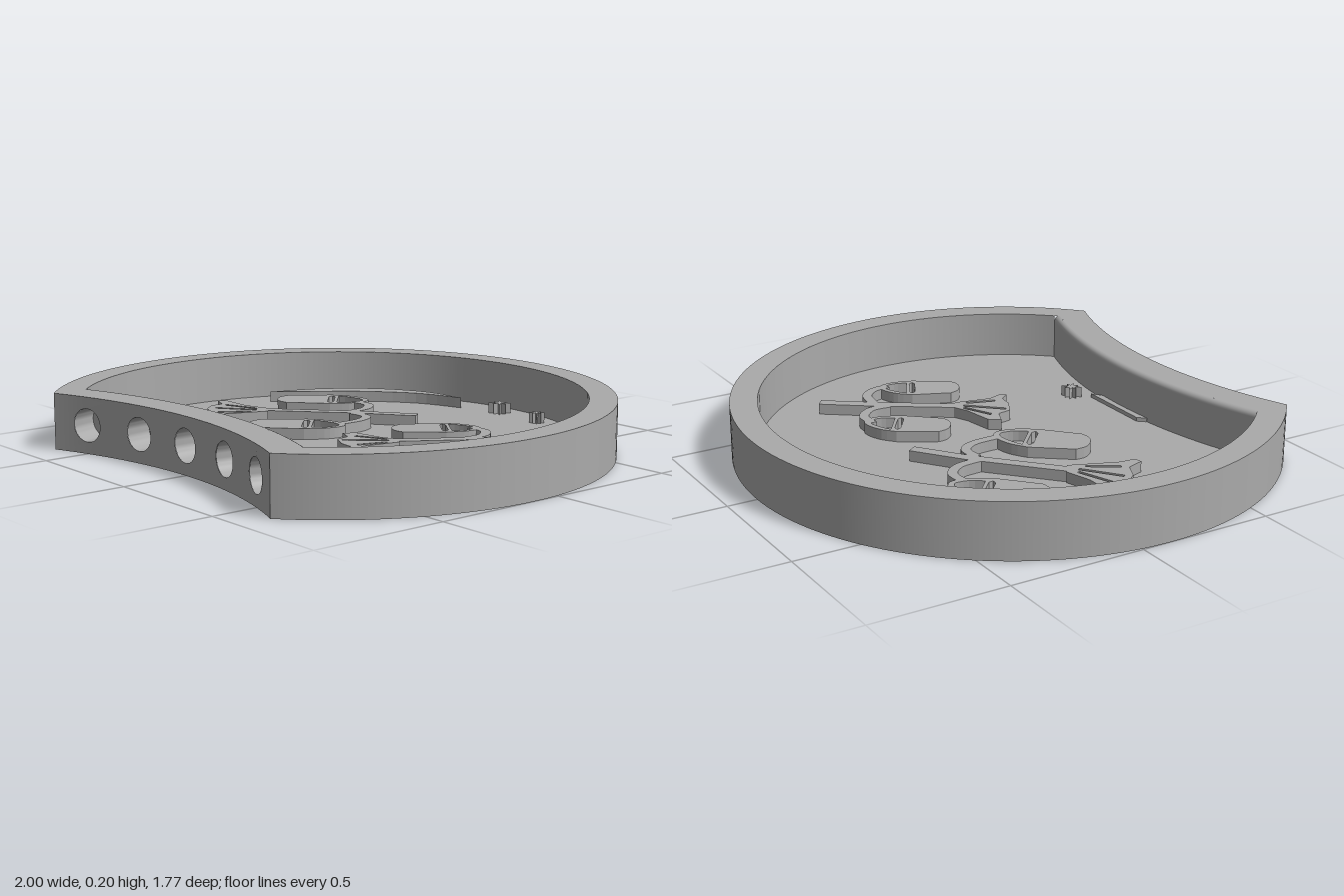
import * as THREE from 'three';
import { toCreasedNormals } from 'three/addons/utils/BufferGeometryUtils.js';

const H = 0.205, FLOOR = 0.03, RELIEF = 0.04;
const DISC_Z = 0.11, BITE_Z = 2.43;            // centres of the disc and of the bite arc
const R_OUT = 1, R_IN = 0.9, B_OUT = 1.675, B_IN = 1.81, FILLET = 0.02;

const V = (x, y) => new THREE.Vector2(x, y);

// Half angles at which a disc circle and a bite circle meet
function meet(r, b) {
  const d = BITE_Z - DISC_Z;
  const a = (r * r - b * b + d * d) / (2 * d);
  const x = Math.sqrt(r * r - a * a);
  return { disc: Math.atan2(x, a), bite: Math.asin(x / b) };
}

// Bitten disc outline as [x, z] points
function outline(r, b) {
  const { disc, bite } = meet(r, b), pts = [];
  for (let i = 0; i <= 120; i++) {
    const p = disc + (2 * Math.PI - 2 * disc) * i / 120;
    pts.push([r * Math.sin(p), DISC_Z + r * Math.cos(p)]);
  }
  for (let i = 1; i < 40; i++) {
    const t = bite * (i / 20 - 1);
    pts.push([b * Math.sin(t), BITE_Z - b * Math.cos(t)]);
  }
  return pts;
}

const toShape = (pts, holes = []) => {
  const s = new THREE.Shape(pts.map(([x, z]) => V(x, -z)));
  s.holes = holes.map(h => new THREE.Path(h.map(([x, z]) => V(x, -z))));
  return s;
};

// Smooth open curve through [x, z] points
const smooth = (pts, n = 20) =>
  new THREE.SplineCurve(pts.map(p => V(...p))).getPoints(n).map(p => [p.x, p.y]);

// Constant-width band along a path
function band(pts, width) {
  const left = [], right = [];
  pts.forEach(([x, z], i) => {
    const a = pts[Math.max(i - 1, 0)], b = pts[Math.min(i + 1, pts.length - 1)];
    const dx = b[0] - a[0], dz = b[1] - a[1], k = width / 2 / Math.hypot(dx, dz);
    left.push([x - dz * k, z + dx * k]);
    right.unshift([x + dz * k, z - dx * k]);
  });
  return left.concat(right);
}

export function createModel() {
  const group = new THREE.Group();
  const grey = new THREE.MeshStandardMaterial({ color: 0xaaaaaa });
  grey.name = 'grey';
  const add = (name, geo, parent = group) => {
    const m = new THREE.Mesh(geo, grey);
    m.name = name;
    parent.add(m);
    return m;
  };

  // Flat surfaces: underside, tray floor and top of the rim
  const under = new THREE.Shape(outline(R_OUT, B_OUT).map(p => V(...p)));
  add('underside', new THREE.ShapeGeometry(under).rotateX(Math.PI / 2));
  add('floor', new THREE.ShapeGeometry(toShape(outline(R_IN, B_IN))).rotateX(-Math.PI / 2).translate(0, FLOOR, 0));
  add('rimTop', new THREE.ShapeGeometry(toShape(outline(R_OUT, B_OUT), [outline(R_IN, B_IN - FILLET)]))
    .rotateX(-Math.PI / 2).translate(0, H, 0));

  // Round walls
  const round = (name, pts, angle) =>
    add(name, new THREE.LatheGeometry(pts, 120, angle, 2 * Math.PI - 2 * angle).translate(0, 0, DISC_Z));
  round('outerWall', [V(R_OUT, 0), V(R_OUT, H)], meet(R_OUT, B_OUT).disc);
  round('innerWall', [V(R_IN, H), V(R_IN, FLOOR)], meet(R_IN, B_IN).disc);

  // Inner front wall with a rounded top edge
  const profile = [V(B_IN, FLOOR)];
  for (let i = 0; i <= 6; i++) {
    const a = Math.PI / 2 * i / 6;
    profile.push(V(B_IN - FILLET + FILLET * Math.cos(a), H - FILLET + FILLET * Math.sin(a)));
  }
  const half = meet(R_IN, B_IN).bite;
  add('innerFrontWall', new THREE.LatheGeometry(profile, 40, Math.PI - half, 2 * half).translate(0, 0, BITE_Z));

  // Curved front face in five panels, each with a round blind socket
  const step = 0.151, holeR = 0.06, holeY = 0.103, depth = 0.1, end = meet(R_OUT, B_OUT).bite;
  for (let i = -2; i <= 2; i++) {
    const t0 = i === -2 ? -end : (i - 0.5) * step, t1 = i === 2 ? end : (i + 0.5) * step;
    const edge = [];
    for (let k = 0; k <= 8; k++) edge.push((t0 + (t1 - t0) * k / 8) * B_OUT);
    const panel = new THREE.Shape([...edge.map(s => V(s, 0)), ...edge.reverse().map(s => V(s, H))]);
    const hole = new THREE.Path();
    hole.absarc(i * step * B_OUT, holeY, holeR, 0, Math.PI * 2, true);
    panel.holes.push(hole);
    const geo = new THREE.ShapeGeometry(panel, 24);
    const pos = geo.attributes.position, nor = geo.attributes.normal;
    for (let k = 0; k < pos.count; k++) {
      const t = pos.getX(k) / B_OUT;
      pos.setXYZ(k, B_OUT * Math.sin(t), pos.getY(k), BITE_Z - B_OUT * Math.cos(t));
      nor.setXYZ(k, -Math.sin(t), 0, Math.cos(t));
    }
    add('frontPanel', geo);
    const t = i * step;
    const cup = toCreasedNormals(new THREE.LatheGeometry([V(holeR, 0), V(holeR, -depth), V(0, -depth)], 48), 0.6);
    add('socket', cup.rotateX(Math.PI / 2).rotateY(-t)
      .translate(B_OUT * Math.sin(t), holeY, BITE_Z - B_OUT * Math.cos(t)));
  }

  // Raised decoration on the floor
  const relief = (name, pts, holes = [], parent = group, height = RELIEF) =>
    add(name, new THREE.ExtrudeGeometry(toShape(pts, holes), { depth: height, bevelEnabled: false })
      .rotateX(-Math.PI / 2).translate(0, FLOOR, 0), parent);

  // Flower cup: a tapered body, a looped cap and a narrow mouth slit
  function bell(parent, [x, z], [ax, az], s) {
    const place = pts => pts.map(([a, u]) => [x + s * (-az * a + ax * u), z + s * (ax * a + az * u)]);
    const body = smooth([[-0.075, -0.17], [-0.045, -0.2], [0, -0.21], [0.045, -0.2], [0.075, -0.17]], 10);
    const cap = smooth([[0.09, 0], [0.075, 0.08], [0.045, 0.13], [0.01, 0.145], [-0.03, 0.125], [-0.07, 0.07], [-0.09, 0]], 20);
    const loop = smooth([[0.06, 0.025], [0.055, 0.075], [0.03, 0.115], [0.01, 0.122], [-0.018, 0.105], [-0.05, 0.06], [-0.066, 0.025]], 16);
    const slit = [[-0.066, 0], [-0.05, 0.012], [0.05, 0.012], [0.066, 0], [0.05, -0.012], [-0.05, -0.012]];
    relief('flowerCup', place([...body, ...cap]), [place(loop), place(slit)], parent);
  }

  const sprigs = [
    {
      stem: [[-0.02, -0.3], [-0.195, -0.17], [-0.46, 0.07]],
      arches: [[[-0.36, -0.29], [-0.29, -0.29], [-0.24, -0.235], [-0.23, -0.15]],
        [[-0.2, -0.14], [-0.125, -0.14], [-0.085, -0.08], [-0.08, 0.03]]],
      bells: [[[-0.465, -0.25], [0.676, -0.735], 1], [[-0.155, 0.12], [0.676, -0.735], 1]],
      tail: [[-0.48, 0.05], [-0.58, 0.08], [-0.7, 0.08], [-0.72, 0.11], [-0.655, 0.135], [-0.66, 0.18], [-0.62, 0.23],
        [-0.555, 0.26], [-0.535, 0.325], [-0.505, 0.32], [-0.5, 0.26], [-0.43, 0.085]],
      slits: [[[-0.635, 0.135], [-0.5, 0.085]], [[-0.61, 0.2], [-0.48, 0.1]], [[-0.535, 0.24], [-0.47, 0.135]]]
    },
    {
      stem: [[0.565, -0.37], [0.445, -0.21], [0.27, 0.05]],
      arches: [[[0.275, -0.3], [0.35, -0.295], [0.4, -0.24], [0.4, -0.165]],
        [[0.455, -0.2], [0.535, -0.185], [0.58, -0.135], [0.59, -0.07]]],
      bells: [[[0.217, -0.22], [0.59, -0.81], 0.9], [[0.525, 0.005], [0.47, -0.88], 0.87]],
      tail: [[0.265, 0.03], [0.2, 0.06], [0.085, 0.08], [0.055, 0.12], [0.115, 0.145], [0.125, 0.2], [0.19, 0.235],
        [0.245, 0.24], [0.27, 0.275], [0.29, 0.26], [0.27, 0.2], [0.3, 0.065]],
      slits: [[[0.125, 0.118], [0.235, 0.065]], [[0.145, 0.195], [0.255, 0.075]], [[0.24, 0.205], [0.275, 0.1]]]
    }
  ];
  for (const p of sprigs) {
    const sprig = new THREE.Group();
    sprig.name = 'flowerSprig';
    group.add(sprig);
    relief('stem', band(p.stem, 0.042), [], sprig);
    p.arches.forEach(a => relief('stalk', band(smooth(a), 0.036), [], sprig));
    p.bells.forEach(b => bell(sprig, ...b));
    relief('leafFan', p.tail, p.slits.map(s => band(s, 0.013)), sprig);
  }

  // Crescent moon
  relief('crescent', [
    ...smooth([[-0.74, -0.16], [-0.67, -0.35], [-0.53, -0.525], [-0.345, -0.635], [-0.16, -0.655]]),
    ...smooth([[-0.16, -0.655], [-0.345, -0.585], [-0.53, -0.43], [-0.64, -0.285], [-0.74, -0.16]]).slice(1, -1)
  ]);

  // Eight-pointed stars
  for (const [x, z, r] of [[0.01, -0.7, 0.038], [0.235, -0.675, 0.026], [0.22, 0.54, 0.036]]) {
    const pts = [];
    for (let i = 0; i < 16; i++) {
      const a = Math.PI * i / 8, q = i % 2 ? r * 0.4 : i % 4 ? r * 1.1 : r * 0.85;
      pts.push([x + q * Math.cos(a), z + q * Math.sin(a)]);
    }
    relief('star', pts);
  }

  // Low sliver at the foot of the front wall
  relief('floorSliver', [[-0.15, 0.64], [-0.155, 0.625], [-0.13, 0.597], [0.17, 0.597], [0.12, 0.63], [0.1, 0.64]], [], group, 0.015);

  return group;
}
